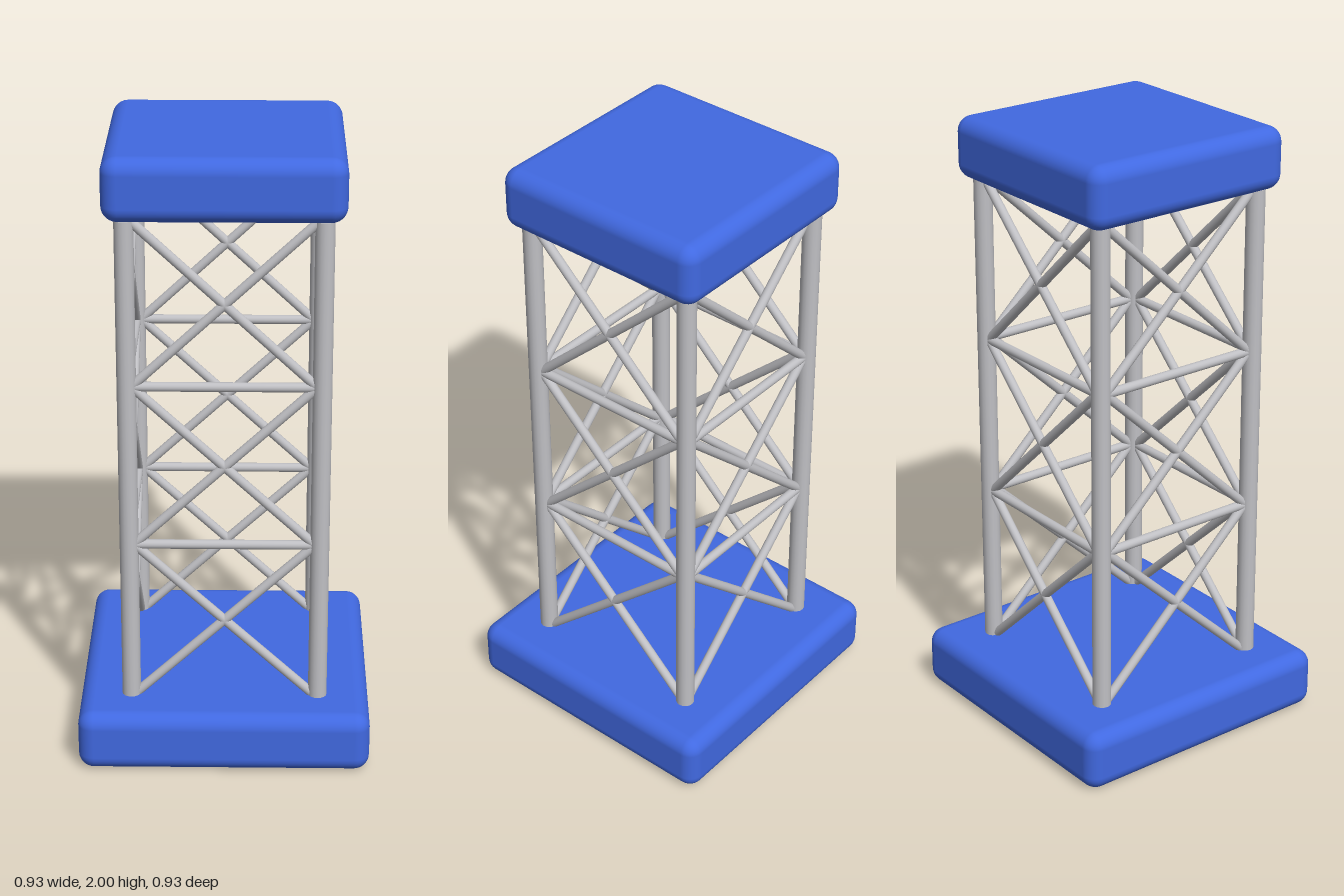
import * as THREE from 'three';
import { RoundedBoxGeometry } from 'three/addons/geometries/RoundedBoxGeometry.js';

export function createModel() {
  const model = new THREE.Group();
  model.name = 'latticeTower';

  const blue = new THREE.MeshStandardMaterial({ color: 0x4169e1 });
  blue.name = 'royal blue';
  const silver = new THREE.MeshStandardMaterial({ color: 0xc0c0c4 });
  silver.name = 'silver';

  // Rounded square slab resting on height y
  const addSlab = (name, width, y) => {
    const slab = new THREE.Mesh(new RoundedBoxGeometry(width, 0.2, width, 4, 0.05), blue);
    slab.name = name;
    slab.position.y = y + 0.1;
    model.add(slab);
  };
  addSlab('base', 0.933, 0);
  addSlab('cap', 0.733, 1.8);

  // Round bar between two points
  const addBar = (parent, name, a, b, radius) => {
    const axis = b.clone().sub(a);
    const bar = new THREE.Mesh(new THREE.CylinderGeometry(radius, radius, axis.length(), 16), silver);
    bar.name = name;
    bar.position.copy(a).add(b).multiplyScalar(0.5);
    bar.quaternion.setFromUnitVectors(new THREE.Vector3(0, 1, 0), axis.normalize());
    parent.add(bar);
  };

  const post = 0.3, reach = 0.285, bottom = 0.2, bay = 1.6 / 3;

  // One side per quarter turn: a corner post, crossed braces and rungs
  for (let i = 0; i < 4; i++) {
    const side = new THREE.Group();
    side.name = 'side' + (i + 1);
    side.rotation.y = i * Math.PI / 2;
    const at = (x, y) => new THREE.Vector3(x, y, post);

    addBar(side, 'post', at(post, bottom), at(post, 1.8), 0.03);
    for (let level = 0; level < 3; level++) {
      const y0 = bottom + level * bay, y1 = y0 + bay;
      addBar(side, 'risingBrace', at(-reach, y0), at(reach, y1), 0.015);
      addBar(side, 'fallingBrace', at(-reach, y1), at(reach, y0), 0.015);
      if (level > 0) addBar(side, 'rung', at(-reach, y0), at(reach, y0), 0.015);
    }
    model.add(side);
  }
  return model;
}
